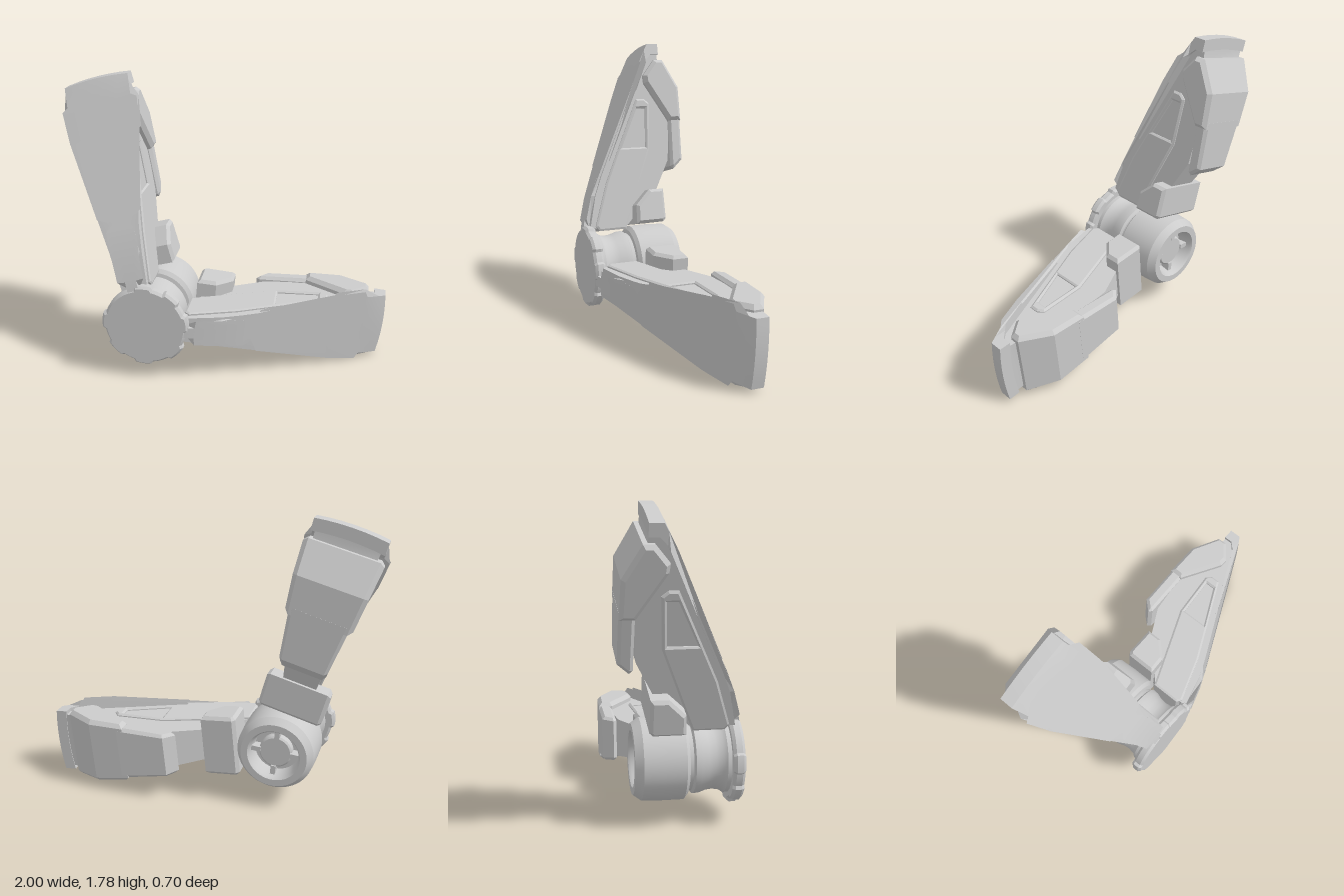
import * as THREE from 'three';
import { toCreasedNormals } from 'three/addons/utils/BufferGeometryUtils.js';

const grey = new THREE.MeshStandardMaterial({ color: 0xcccccc });
const rad = THREE.MathUtils.degToRad;

function mesh(name, geometry) {
  const m = new THREE.Mesh(geometry, grey);
  m.name = name;
  return m;
}

// piecewise linear lookup in a table of [u, value]
function lookup(table, u) {
  if (u <= table[0][0]) return table[0][1];
  for (let i = 1; i < table.length; i++) {
    const [a, va] = table[i - 1], [b, vb] = table[i];
    if (u <= b) return va + (vb - va) * (u - a) / (b - a);
  }
  return table[table.length - 1][1];
}

// Side profile in (u, z), extruded across the arm; half width follows u
function slab(name, profile, width, { size = 0, thick = 0, hole, steps = 1, bend } = {}) {
  const shape = new THREE.Shape(profile.map(p => new THREE.Vector2(...p)));
  if (hole) shape.holes.push(new THREE.Path(hole.map(p => new THREE.Vector2(...p))));
  const g = new THREE.ExtrudeGeometry(shape, {
    depth: 2 - 2 * thick, steps, bevelEnabled: size > 0, bevelSegments: 1,
    bevelSize: size, bevelThickness: thick, bevelOffset: -size,
  });
  g.translate(0, 0, thick - 1);
  g.rotateX(Math.PI / 2);
  const pos = g.attributes.position;
  for (let i = 0; i < pos.count; i++) {
    const u = pos.getX(i), v = pos.getY(i) * lookup(width, u);
    pos.setY(i, v);
    if (bend) pos.setX(i, bend(u, v));
  }
  g.computeVertexNormals();
  return mesh(name, toCreasedNormals(g, 0.3));
}

// Long face plate: a bent strip with notches, side tabs and an arced tip
function facePlate() {
  const width = [[0.24, 0.035], [0.3, 0.035], [0.305, 0.083], [0.59, 0.09], [0.63, 0.062],
    [0.645, 0.075], [0.67, 0.134], [1.1, 0.19], [1.11, 0.225], [1.285, 0.241],
    [1.305, 0.204], [1.43, 0.205]];
  const front = [[0.24, 0.345], [0.3, 0.332], [0.45, 0.288], [0.57, 0.24], [1.39, -0.128], [1.43, -0.15]];
  const us = [...new Set([...width, ...front].map(p => p[0]))].sort((a, b) => a - b);
  const top = us.map(u => [u, lookup(front, u)]);
  const under = us.filter(u => u < 1.35).reverse().map(u => [u, lookup(front, u) - 0.04]);
  const lip = [[1.43, -0.225], [1.36, -0.225], [1.36, -0.17]];
  return slab('facePlate', [...top, ...lip, ...under], width,
    { steps: 6, bend: (u, v) => u > 1.35 ? u - 0.35 * v * v : u });
}

function createArm(name, degrees) {
  const arm = new THREE.Group();
  arm.name = name;
  const taper = d => [[0.2, 0.091 + d], [1.4, 0.2 + d]];

  arm.add(facePlate());

  // inner core behind the plate
  arm.add(slab('armCore', [[0.24, 0.06], [0.46, -0.16], [0.65, -0.255], [0.9, -0.28], [1.15, -0.28],
    [1.3, -0.225], [1.37, -0.22], [1.37, -0.15], [0.57, 0.215], [0.45, 0.262], [0.24, 0.31]], taper(-0.014)));

  // raised side panels with a recessed window
  arm.add(slab('sidePanels', [[0.22, 0.07], [0.73, -0.125], [1.03, -0.145], [1.06, -0.11], [1.06, -0.055],
    [0.53, 0.185], [0.25, 0.275], [0.22, 0.25]], taper(0.002), {
    size: 0.012, thick: 0.06,
    hole: [[0.745, 0.065], [1.0, -0.055], [1.0, -0.115], [0.745, -0.1]],
  }));

  // rear armour: wide outer cover and a narrower tail toward the hub
  arm.add(slab('rearCover', [[0.91, -0.27], [0.91, -0.355], [1.13, -0.35], [1.31, -0.25],
    [1.31, -0.19], [1.21, -0.11], [1.16, -0.115]], [[0.9, 0.188], [1.31, 0.226]],
  { size: 0.022, thick: 0.12 }));
  arm.add(slab('rearCoverTail', [[0.59, -0.29], [0.65, -0.355], [0.95, -0.355], [0.95, -0.27], [0.61, -0.27]],
    [[0.59, 0.132], [0.95, 0.172]], { size: 0.018, thick: 0.12 }));

  // clamp block against the hub
  arm.add(slab('clampBlock', [[0.245, 0.02], [0.245, -0.16], [0.265, -0.18], [0.46, -0.18],
    [0.46, -0.08], [0.365, 0.015]], [[0.2, 0.194], [0.5, 0.194]], { size: 0.018, thick: 0.1 }));

  arm.rotation.z = rad(degrees);
  return arm;
}

function createHub() {
  const hub = new THREE.Group();
  hub.name = 'hub';

  // turned drum, waist and recessed rear socket
  const profile = [[0, -0.2], [0.09, -0.2], [0.1, -0.19], [0.1, -0.15], [0.135, -0.15], [0.15, -0.235],
    [0.16, -0.25], [0.2, -0.25], [0.232, -0.205], [0.238, -0.1], [0.238, 0.03], [0.215, 0.05],
    [0.192, 0.055], [0.192, 0.075], [0.208, 0.085], [0.206, 0.12], [0.192, 0.16], [0.188, 0.2],
    [0.195, 0.24], [0.21, 0.26], [0.21, 0.3]].map(p => new THREE.Vector2(...p));
  const drum = new THREE.LatheGeometry(profile, 64);
  drum.rotateX(Math.PI / 2);
  hub.add(mesh('drum', toCreasedNormals(drum, 0.5)));

  // short ribs bridging the rear socket
  for (let i = 0; i < 4; i++) {
    const a = rad(5 + i * 90);
    const rib = mesh('socketRib', new THREE.BoxGeometry(0.06, 0.03, 0.06));
    rib.position.set(Math.cos(a) * 0.12, Math.sin(a) * 0.12, -0.18);
    rib.rotation.z = a;
    hub.add(rib);
  }

  // front disc with shallow teeth around its rim
  const teeth = [50, 92, 175, 222, 265, 318, 8];
  const shape = new THREE.Shape();
  for (let a = 0; a < 360; a += 3) {
    const raised = teeth.some(t => Math.abs(((a - t + 540) % 360) - 180) < 13);
    const r = raised ? 0.266 : 0.25;
    const x = r * Math.cos(rad(a)), y = r * Math.sin(rad(a));
    if (a) shape.lineTo(x, y); else shape.moveTo(x, y);
  }
  const disc = new THREE.ExtrudeGeometry(shape, {
    depth: 0.035, bevelEnabled: true, bevelSize: 0.014, bevelThickness: 0.016,
    bevelOffset: -0.014, bevelSegments: 1,
  });
  disc.translate(0, 0, 0.299);
  hub.add(mesh('frontDisc', toCreasedNormals(disc, 0.4)));
  return hub;
}

export function createModel() {
  const model = new THREE.Group();
  model.name = 'twoArmHub';
  model.add(createHub(), createArm('lowerArm', -5.3), createArm('upperArm', 105.3));
  model.position.set(-0.43, 0.36, 0);
  const root = new THREE.Group();
  root.name = 'model';
  root.add(model);
  return root;
}
